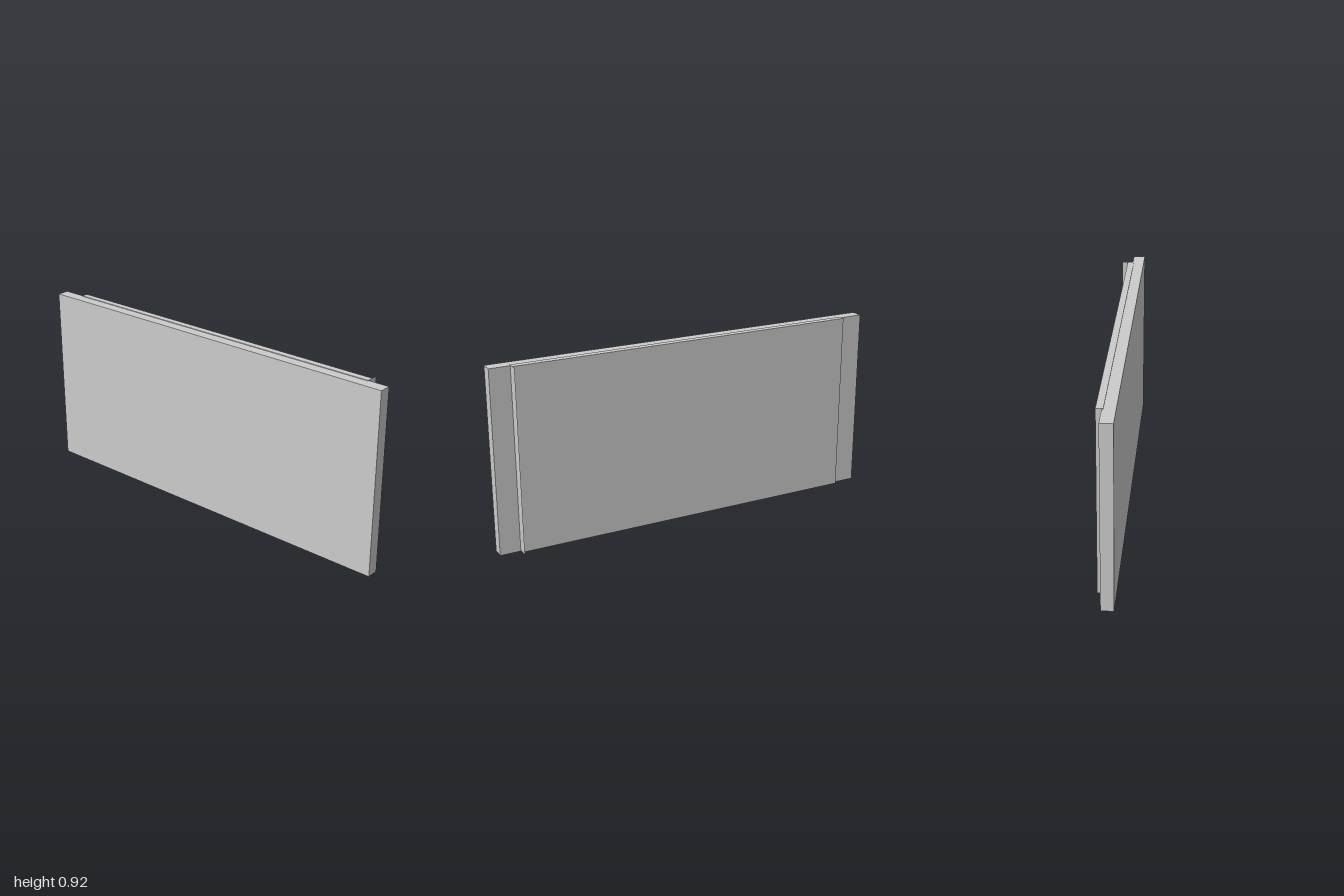
import * as THREE from 'three';

export function createModel() {
  const group = new THREE.Group();
  const material = new THREE.MeshStandardMaterial({ color: 0xcccccc, flatShading: true });
  const thin = new THREE.MeshStandardMaterial({ color: 0xcccccc, side: THREE.DoubleSide });

  // box given by its two opposite corners
  function slab(name, [x0, y0, z0], [x1, y1, z1]) {
    const mesh = new THREE.Mesh(new THREE.BoxGeometry(x1 - x0, y1 - y0, z1 - z0), material);
    mesh.position.set((x0 + x1) / 2, (y0 + y1) / 2, (z0 + z1) / 2);
    mesh.name = name;
    group.add(mesh);
  }

  // main board, and the thinner panel set into its left face
  slab('backBoard', [-0.058, 0, -1], [0.002, 0.917, 1]);
  slab('facePanel', [-0.005, 0.005, -0.877], [0.028, 0.92, 0.898]);

  // thin flange standing out from the panel's front edge
  const flange = new THREE.Mesh(new THREE.PlaneGeometry(0.03, 0.915), thin);
  flange.position.set(0.043, 0.4625, 0.898);
  flange.name = 'frontFlange';
  group.add(flange);

  return group;
}
